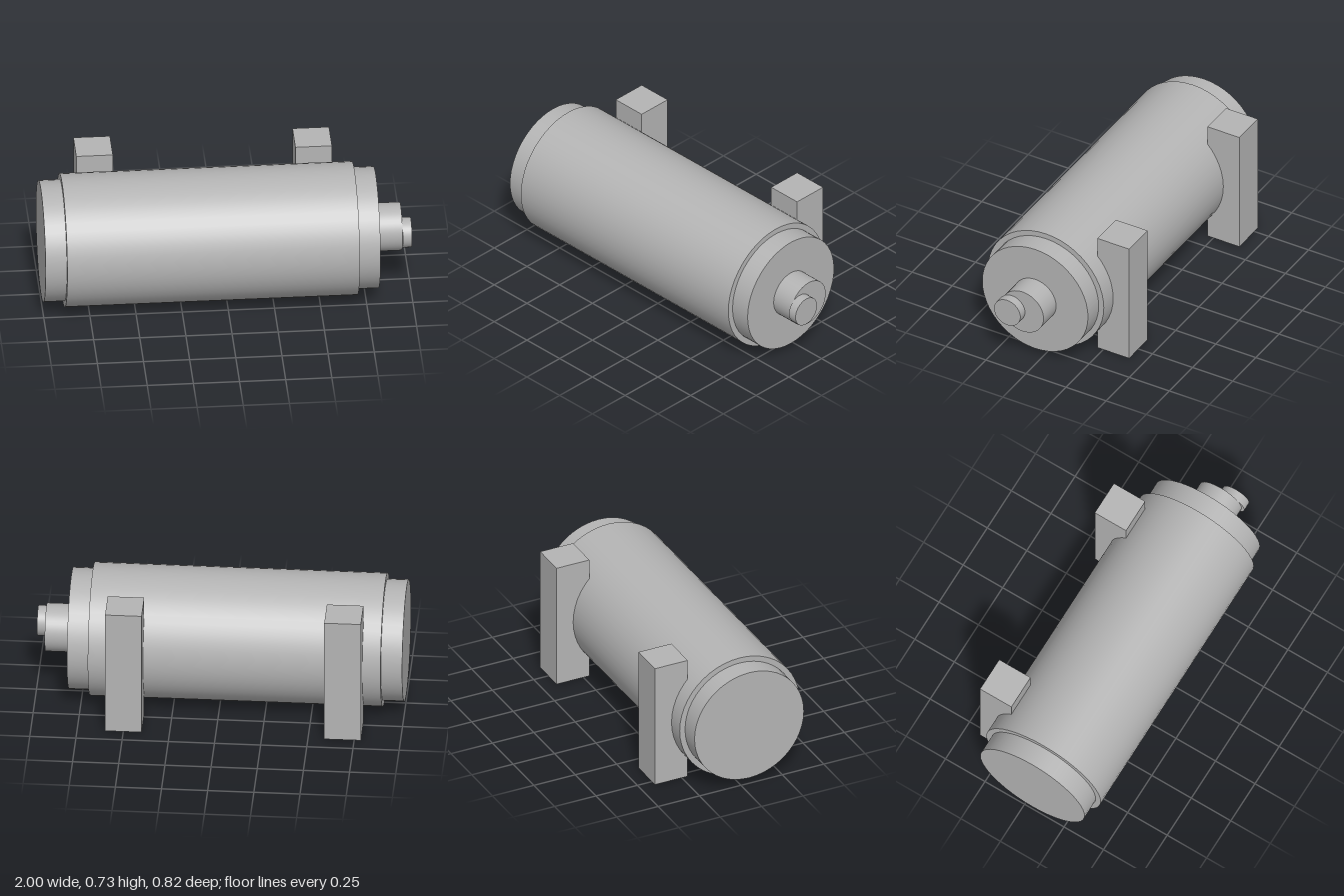
import * as THREE from 'three';

export function createModel() {
  const model = new THREE.Group();
  const grey = new THREE.MeshStandardMaterial({ color: 0xb4b4b4 });
  grey.name = 'plain grey';

  const axisY = 0.364;
  const axisZ = 0.05;

  function add(name, geometry, x, y, z) {
    const mesh = new THREE.Mesh(geometry, grey);
    mesh.name = name;
    mesh.position.set(x, y, z);
    model.add(mesh);
  }

  // Cylinder lying along x between x0 and x1
  function addRound(name, radius, x0, x1, z = axisZ) {
    const geometry = new THREE.CylinderGeometry(radius, radius, x1 - x0, 48);
    geometry.rotateZ(-Math.PI / 2);
    add(name, geometry, (x0 + x1) / 2, axisY, z);
  }

  // Main drum, end caps and stepped shaft
  addRound('drum', 0.362, -0.885, 0.7);
  addRound('rightEndCap', 0.33, -1, -0.885);
  addRound('leftEndCap', 0.33, 0.7, 0.815);
  addRound('shaftBoss', 0.131, 0.815, 0.95);
  addRound('eccentricPin', 0.082, 0.95, 1, 0.117);

  // Upright mounting posts sunk into the back of the drum
  for (const [name, x] of [['rightMountPost', -0.687], ['leftMountPost', 0.5]]) {
    add(name, new THREE.BoxGeometry(0.198, 0.728, 0.198), x, 0.364, -0.313);
  }

  return model;
}
